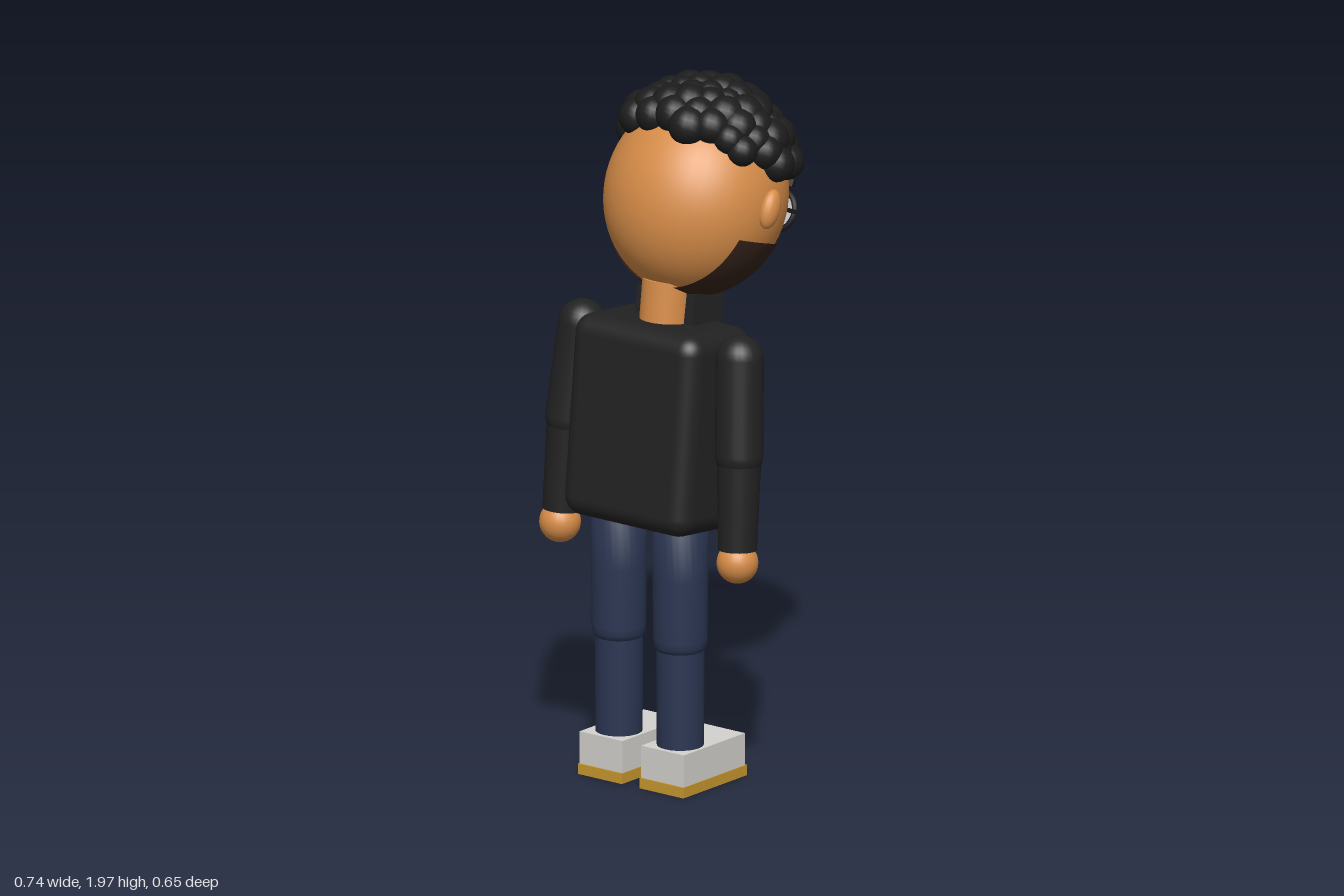
import * as THREE from 'three';
import { RoundedBoxGeometry } from 'three/addons/geometries/RoundedBoxGeometry.js';

const mat = (name, color, side = THREE.FrontSide) => {
  const m = new THREE.MeshStandardMaterial({ color, side });
  m.name = name;
  return m;
};

export function createModel() {
  const skin = mat('skin', 0xd68c48);
  const hair = mat('hair', 0x1c1c1c);
  const beardMat = mat('beard', 0x35231a, THREE.DoubleSide);
  const jacket = mat('jacket', 0x222222);
  const denim = mat('denim', 0x2b3652);
  const shoeMat = mat('shoe', 0xd4d2cd);
  const gold = mat('sole', 0xc8982e);
  const shirt = mat('shirt', 0xd8d5d0);
  const lensMat = mat('lens', 0xc4c6c8, THREE.DoubleSide);

  const root = new THREE.Group();
  const add = (parent, name, geo, m, x = 0, y = 0, z = 0) => {
    const mesh = new THREE.Mesh(geo, m);
    mesh.name = name;
    mesh.position.set(x, y, z);
    parent.add(mesh);
    return mesh;
  };
  const box = (w, h, d) => new THREE.BoxGeometry(w, h, d);
  const group = (name, x, y, z, tilt) => {
    const g = new THREE.Group();
    g.name = name;
    g.position.set(x, y, z);
    g.rotation.x = tilt;
    root.add(g);
    return g;
  };
  // Places a y-aligned limb geometry between two points
  const limb = (name, make, m, a, b) => {
    const p = new THREE.Vector3(...a), q = new THREE.Vector3(...b);
    const dir = p.clone().sub(q);
    const mesh = add(root, name, make(dir.length()), m);
    mesh.position.copy(p).add(q).multiplyScalar(0.5);
    mesh.quaternion.setFromUnitVectors(new THREE.Vector3(0, 1, 0), dir.normalize());
  };

  // Legs, shoes and arms (the figure's face looks toward -z)
  const thigh = new THREE.LatheGeometry(
    [[0, 0.395], [0.066, 0.395], [0.074, 0.41], [0.075, 0.43], [0.077, 0.6], [0.077, 0.8], [0, 0.8]]
      .map(([r, y]) => new THREE.Vector2(r, y)), 28);
  for (const s of [-1, 1]) {
    add(root, 'sole', box(0.155, 0.03, 0.28), gold, s * 0.108, 0.015, 0.144);
    add(root, 'shoe', box(0.15, 0.092, 0.27), shoeMat, s * 0.108, 0.076, 0.144);
    add(root, 'lowerLeg', new THREE.CylinderGeometry(0.067, 0.065, 0.32, 28), denim, s * 0.108, 0.27, 0.2);
    add(root, 'upperLeg', thigh, denim, s * 0.108, 0, 0.2);

    const shoulder = [s * 0.277, 1.25, 0.15], elbow = [s * 0.299, 0.985, 0.18];
    const wrist = [s * 0.309, 0.72, 0.2];
    limb('upperArm', (l) => new THREE.CapsuleGeometry(0.067, l, 8, 24), jacket, shoulder, elbow);
    limb('forearm', (l) => new THREE.CylinderGeometry(0.062, 0.054, l, 24), jacket, elbow, wrist);
    add(root, 'hand', new THREE.SphereGeometry(0.058, 24, 16), skin, s * 0.312, 0.684, 0.204);
  }

  // Torso leaning forward, with the open jacket front
  const torso = group('torso', 0, 1.025, 0.165, -0.1);
  add(torso, 'jacketBody', new RoundedBoxGeometry(0.44, 0.57, 0.29, 5, 0.055), jacket);
  add(torso, 'shirtFront', box(0.12, 0.5, 0.009), shirt, 0, 0.02, -0.151);
  for (const s of [-1, 1]) {
    add(torso, 'jacketTrim', box(0.02, 0.5, 0.009), denim, s * 0.069, 0.02, -0.154);
    const collar = add(torso, 'collar', box(0.06, 0.11, 0.13), jacket, s * 0.072, 0.31, -0.065);
    collar.rotation.set(-0.06, 0, s * 0.06);
  }
  add(torso, 'neck', new THREE.CylinderGeometry(0.07, 0.072, 0.17, 28), skin, 0, 0.315, -0.005);

  // Head tipped down
  const RX = 0.257, RY = 0.28, RZ = 0.25;
  const head = group('head', 0, 1.635, -0.005, -0.4);
  add(head, 'skull', new THREE.SphereGeometry(1, 48, 32), skin).scale.set(RX, RY, RZ);
  for (const s of [-1, 1]) {
    add(head, 'ear', new THREE.SphereGeometry(1, 20, 14), skin, s * 0.262, 0.005, 0.005)
      .scale.set(0.026, 0.056, 0.033);
  }

  // Beard: arcs around the jaw from zBack to zFront, leaving the mouth bare
  const jaw = (zBack, zFront, innerX) => {
    const pos = [], index = [], N = 16, M = 24;
    for (const s of [-1, 1]) {
      const base = pos.length / 3;
      for (let i = 0; i <= N; i++) {
        const z = zBack + (zFront - zBack) * i / N;
        const f = Math.sqrt(1 - (z / RZ) ** 2);
        const top = 0.09 + 0.1 * z;
        const hi = Math.acos(Math.min(1, top / (RY * f)));
        const lo = Math.min(hi, Math.asin(Math.min(1, innerX / (RX * f))));
        for (let j = 0; j <= M; j++) {
          const a = lo + (hi - lo) * j / M;
          pos.push(s * RX * f * Math.sin(a) * 1.02, -RY * f * Math.cos(a) * 1.02, z * 1.02);
          if (i < N && j < M) {
            const k = base + i * (M + 1) + j, n = k + M + 1;
            if (s > 0) index.push(k, n, k + 1, k + 1, n, n + 1);
            else index.push(k, k + 1, n, k + 1, n + 1, n);
          }
        }
      }
    }
    const g = new THREE.BufferGeometry();
    g.setAttribute('position', new THREE.Float32BufferAttribute(pos, 3));
    // Outward normals of the ellipsoid
    const nor = [];
    for (let i = 0; i < pos.length; i += 3) {
      const v = new THREE.Vector3(pos[i] / RX ** 2, pos[i + 1] / RY ** 2, pos[i + 2] / RZ ** 2).normalize();
      nor.push(v.x, v.y, v.z);
    }
    g.setAttribute('normal', new THREE.Float32BufferAttribute(nor, 3));
    // Order corners so the faces look outward
    for (let i = 0; i < index.length; i += 3) {
      const [a, b, c] = [0, 1, 2].map((k) => new THREE.Vector3().fromArray(pos, index[i + k] * 3));
      const n = b.clone().sub(a).cross(c.clone().sub(a));
      if (n.dot(a) < 0) [index[i + 1], index[i + 2]] = [index[i + 2], index[i + 1]];
    }
    g.setIndex(index);
    return g;
  };
  add(head, 'jawBeard', jaw(0.07, -0.165, 0), beardMat);
  add(head, 'cheekBeard', jaw(-0.165, -0.22, 0.1), beardMat);

  // Face
  add(head, 'nose', new THREE.SphereGeometry(1, 20, 14), skin, 0, -0.06, -0.25).scale.set(0.026, 0.04, 0.033);
  add(head, 'mouth', box(0.075, 0.011, 0.02), beardMat, 0, -0.165, -0.21);
  for (const s of [-1, 1]) {
    const lash = add(head, 'moustache', new THREE.SphereGeometry(1, 16, 10), beardMat, s * 0.026, -0.128, -0.23);
    lash.scale.set(0.035, 0.013, 0.015);
    lash.rotation.z = -s * 0.2;
    const brow = add(head, 'eyebrow', box(0.09, 0.02, 0.022), hair, s * 0.09, 0.1, -0.235);
    brow.rotation.set(0, s * 0.3, -s * 0.1);
    add(head, 'glassesRim', new THREE.TorusGeometry(0.057, 0.008, 10, 32), hair, s * 0.088, 0.015, -0.265);
    add(head, 'lens', new THREE.CylinderGeometry(0.055, 0.055, 0.006, 32), lensMat, s * 0.088, 0.015, -0.265)
      .rotation.x = Math.PI / 2;
    add(head, 'glassesHinge', box(0.012, 0.012, 0.06), hair, s * 0.149, 0.02, -0.24);
  }
  add(head, 'glassesBridge', box(0.06, 0.011, 0.011), hair, 0, 0.02, -0.267);

  // Curls spread over the scalp
  let seed = 7;
  const rnd = () => (seed = (seed * 16807) % 2147483647) / 2147483647;
  const curls = new THREE.Group();
  curls.name = 'curls';
  head.add(curls);
  const curl = new THREE.SphereGeometry(1, 16, 12);
  const COUNT = 330;
  for (let i = 0; i < COUNT; i++) {
    const h = 1 - 2 * (i + 0.5) / COUNT, a = i * 2.39996 + (rnd() - 0.5) * 0.12;
    const r = Math.sqrt(1 - h * h), size = 0.042 + rnd() * 0.018;
    const x = r * Math.cos(a) * RX, y = h * RY, z = r * Math.sin(a) * RZ;
    const line = z > 0 ? 0.095 + 0.3 * z : 0.095 - 0.2 * z;
    if (y < line + (rnd() - 0.5) * 0.04) continue;
    add(curls, 'curl', curl, hair, x * 1.03, y * 1.03, z * 1.03).scale.setScalar(size);
  }
  return root;
}
